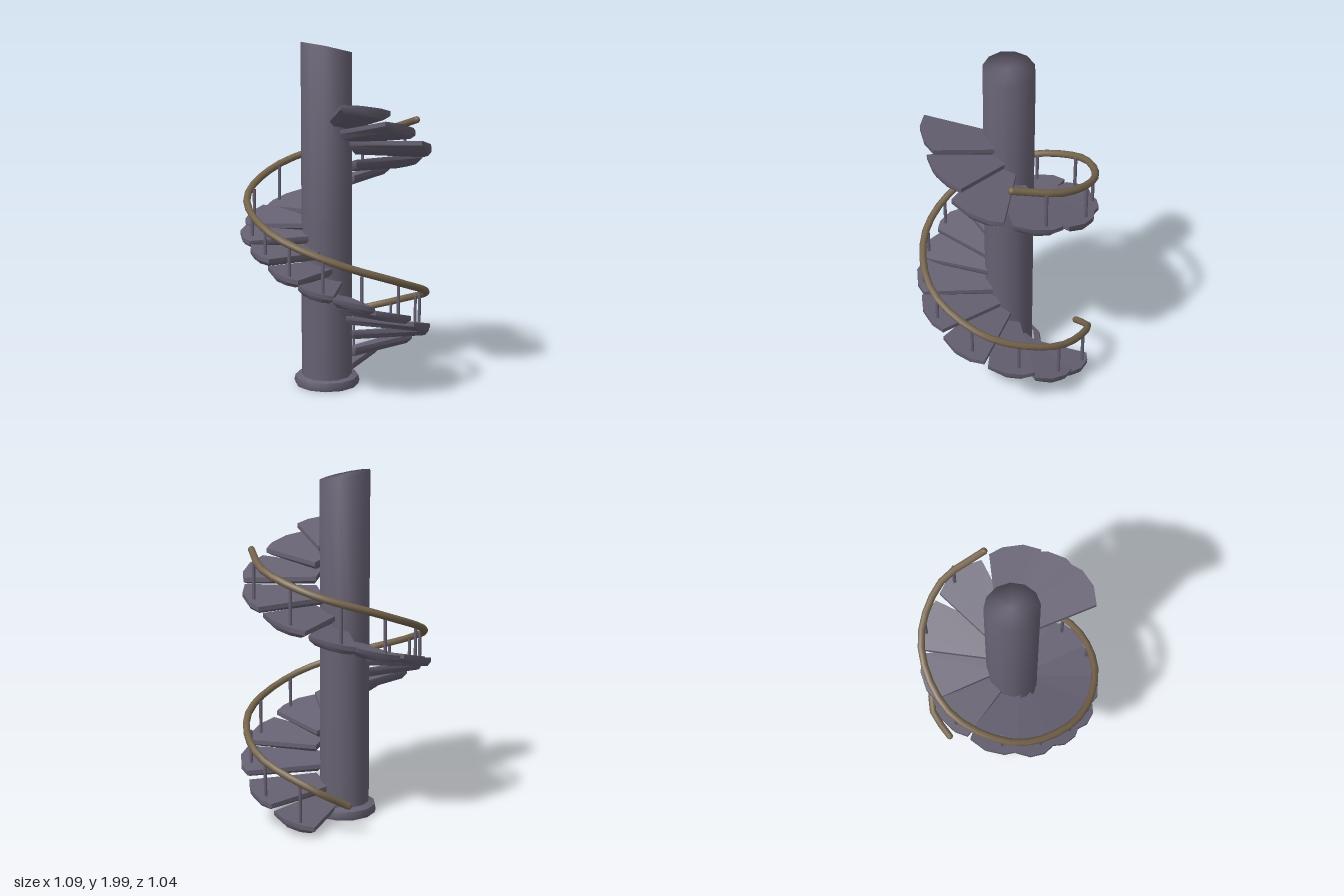
import * as THREE from 'three';
import { toCreasedNormals } from 'three/addons/utils/BufferGeometryUtils.js';

const stone = new THREE.MeshStandardMaterial({ color: 0x666172 });
stone.name = 'slate stone';
const wood = new THREE.MeshStandardMaterial({ color: 0x75644d });
wood.name = 'brown wood';

const COLUMN_X = -0.057;
const RAD = Math.PI / 180;

// Each tread: angle in degrees, height, outer radius, half width, slope along the climb, slope outward
const TREADS = [
  [-75, 0.09, 0.52, 0.13, 0.2, 0], [-45, 0.195, 0.54, 0.13, 0.27, 0],
  [-15, 0.315, 0.55, 0.135, 0.25, 0], [17, 0.415, 0.55, 0.135, 0.27, 0],
  [48, 0.505, 0.54, 0.13, 0.27, 0.1], [76, 0.585, 0.53, 0.115, 0.28, 0.13],
  [101, 0.665, 0.52, 0.1, 0.25, 0.05], [124, 0.745, 0.53, 0.105, 0.25, 0.05],
  [146, 0.84, 0.54, 0.105, 0.25, 0.05], [169, 0.92, 0.55, 0.11, 0.25, 0],
  [195, 0.985, 0.54, 0.135, 0.25, 0], [228, 1.05, 0.53, 0.135, 0.27, 0],
  [258, 1.12, 0.52, 0.13, 0.25, 0], [291, 1.21, 0.53, 0.14, 0.25, 0],
  [328, 1.31, 0.53, 0.145, 0.27, 0], [366, 1.42, 0.54, 0.145, 0.3, 0],
  [396, 1.525, 0.49, 0.14, 0.27, 0.17], [426, 1.625, 0.47, 0.145, 0.15, 0.28],
];

// Handrail control points: angle, radius, height
const RAIL = [
  [-113, 0.435, 0.17], [-90, 0.5, 0.28], [-45, 0.515, 0.42], [0, 0.52, 0.56],
  [45, 0.505, 0.7], [90, 0.49, 0.835], [135, 0.5, 0.97], [180, 0.515, 1.11],
  [225, 0.51, 1.25], [270, 0.495, 1.37], [310, 0.485, 1.47], [345, 0.47, 1.545],
];

const polar = (deg, r, y) =>
  new THREE.Vector3(r * Math.cos(deg * RAD), y, r * Math.sin(deg * RAD));

function railHeight(deg) {
  let i = 0;
  while (i < RAIL.length - 2 && RAIL[i + 1][0] < deg) i++;
  const a = RAIL[i], b = RAIL[i + 1];
  return THREE.MathUtils.mapLinear(deg, a[0], b[0], a[2], b[2]);
}

// Wedge slab with a narrowed underside, tilted along the climb and outward
function treadGeometry(outer, half, climb, outward) {
  const shape = new THREE.Shape([
    [0.085, -half * 0.55], [outer - 0.04, -half], [outer - 0.005, -half * 0.5],
    [outer, half * 0.3], [outer - 0.04, half], [0.085, half * 0.55],
  ].map(([x, y]) => new THREE.Vector2(x, y)));
  const geo = new THREE.ExtrudeGeometry(shape, { depth: 0.05, steps: 2, bevelEnabled: false });
  geo.rotateX(Math.PI / 2);
  const p = geo.attributes.position;
  for (let i = 0; i < p.count; i++) {
    let x = p.getX(i), y = p.getY(i), z = p.getZ(i);
    if (y < -0.04) {
      x = 0.3 + (x - 0.3) * 0.93;
      z *= 0.75;
    }
    p.setXYZ(i, x, y + climb * z + outward * (x - 0.3), z);
  }
  return toCreasedNormals(geo, 0.7);
}

function buildColumn(group) {
  // Shaft with a slanted, softly shaded top
  const geo = new THREE.LatheGeometry([
    [0.147, 0.03], [0.145, 1], [0.145, 1.965], [0, 1.97],
  ].map(([x, y]) => new THREE.Vector2(x, y)), 12);
  const p = geo.attributes.position;
  for (let i = 0; i < p.count; i++) {
    if (p.getY(i) > 1.9) p.setY(i, p.getY(i) - p.getX(i) * 0.2 + p.getZ(i) * 0.06);
  }
  const shaft = new THREE.Mesh(geo, stone);
  shaft.name = 'columnShaft';
  shaft.position.x = COLUMN_X;
  group.add(shaft);

  // Foot ring
  const foot = new THREE.Mesh(toCreasedNormals(new THREE.LatheGeometry([
    [0, 0], [0.185, 0], [0.192, 0.02], [0.185, 0.05], [0.147, 0.065],
  ].map(([x, y]) => new THREE.Vector2(x, y)), 12), 0.8), stone);
  foot.name = 'columnFoot';
  foot.position.set(COLUMN_X, 0, -0.015);
  group.add(foot);
}

function buildTreads(group) {
  TREADS.forEach(([deg, y, outer, half, climb, outward], i) => {
    const tread = new THREE.Mesh(treadGeometry(outer, half, climb, outward), stone);
    tread.name = 'tread' + (i + 1);
    tread.position.y = y;
    tread.rotation.y = -deg * RAD;
    group.add(tread);

    // Baluster from the tread up to the handrail
    const postDeg = deg - 5;
    if (postDeg > RAIL[RAIL.length - 1][0]) return;
    const bottom = y - 0.035, top = railHeight(postDeg);
    const post = new THREE.Mesh(
      new THREE.CylinderGeometry(0.01, 0.01, top - bottom, 6), stone);
    post.name = 'baluster' + (i + 1);
    post.position.copy(polar(postDeg, 0.49, (top + bottom) / 2));
    group.add(post);
  });
}

function buildRail(group) {
  const curve = new THREE.CatmullRomCurve3(RAIL.map(([d, r, y]) => polar(d, r, y)));
  const rail = new THREE.Mesh(new THREE.TubeGeometry(curve, 44, 0.021, 8, false), wood);
  rail.name = 'handrail';
  group.add(rail);

  // Rounded rail ends
  [0, 1].forEach((t) => {
    const cap = new THREE.Mesh(new THREE.SphereGeometry(0.021, 8, 6), wood);
    cap.name = t ? 'railEndUpper' : 'railEndLower';
    cap.position.copy(curve.getPoint(t));
    group.add(cap);
  });
}

export function createModel() {
  const group = new THREE.Group();
  group.name = 'spiralStaircase';
  buildColumn(group);
  buildTreads(group);
  buildRail(group);
  return group;
}
